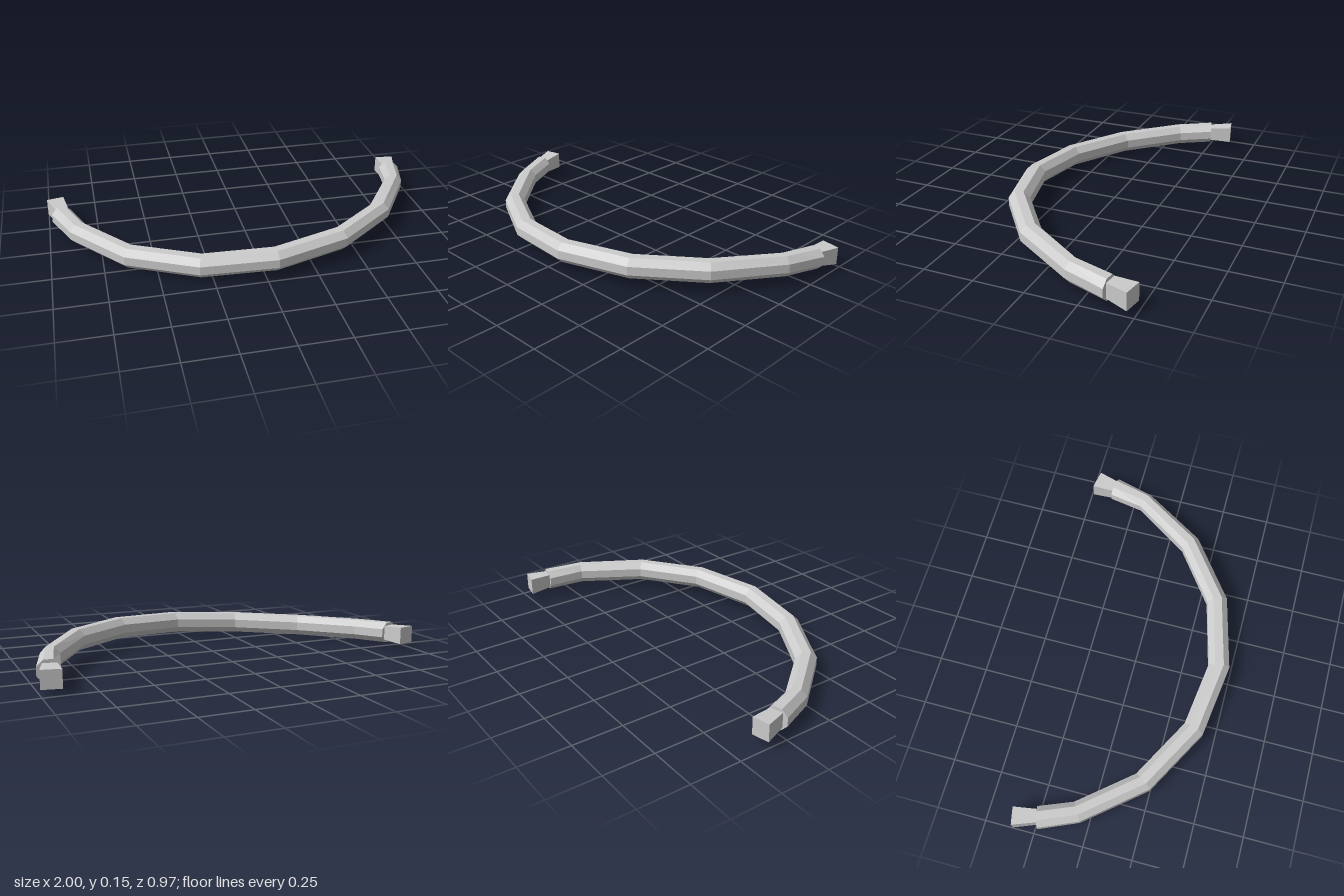
import * as THREE from 'three';

const material = new THREE.MeshStandardMaterial({ color: 0xcccccc, flatShading: true, side: THREE.DoubleSide });

// Cross-section ring from a station: outer x, z, inner x, z, centre height, half height
function ring([ox, oz, ix, iz, y, half], sides) {
  const k = 1 / Math.cos(Math.PI / sides);
  return Array.from({ length: sides }, (_, j) => {
    const a = ((j + 0.5) / sides) * Math.PI * 2;
    const c = Math.cos(a) * k, s = Math.sin(a) * k;
    return new THREE.Vector3(
      (ox + ix) / 2 + (c * (ox - ix)) / 2,
      y + s * half,
      (oz + iz) / 2 + (c * (oz - iz)) / 2
    );
  });
}

// Faceted solid through a row of stations, capped at both ends
function loft(name, stations, sides) {
  const rings = stations.map((s) => ring(s, sides));
  const points = [];
  for (let i = 0; i < rings.length - 1; i++) {
    for (let j = 0; j < sides; j++) {
      const n = (j + 1) % sides;
      const a = rings[i][j], b = rings[i][n], c = rings[i + 1][n], d = rings[i + 1][j];
      points.push(a, d, b, d, c, b);
    }
  }
  const first = rings[0], last = rings[rings.length - 1];
  for (let j = 1; j < sides - 1; j++) {
    points.push(first[0], first[j], first[j + 1]);
    points.push(last[0], last[j + 1], last[j]);
  }
  const geometry = new THREE.BufferGeometry().setFromPoints(points);
  geometry.computeVertexNormals();
  const mesh = new THREE.Mesh(geometry, material);
  mesh.name = name;
  return mesh;
}

export function createModel() {
  const group = new THREE.Group();
  group.name = 'curvedBar';

  // Octagonal bar bent into a gently tilted arc
  const r = 0.053;
  group.add(loft('bar', [
    [-0.98, -0.232, -0.878, -0.26, 0.073, r],
    [-0.895, -0.04, -0.81, -0.094, 0.063, r],
    [-0.654, 0.249, -0.595, 0.163, 0.055, r],
    [-0.317, 0.436, -0.285, 0.334, 0.065, r],
    [0.057, 0.486, 0.047, 0.379, 0.084, r],
    [0.426, 0.388, 0.383, 0.291, 0.098, r],
    [0.731, 0.158, 0.656, 0.088, 0.102, r],
    [0.934, -0.163, 0.848, -0.195, 0.094, r],
    [0.993, -0.361, 0.886, -0.377, 0.082, r],
  ], 8));

  // Flared square tips, narrow where they enter the bar
  group.add(loft('rightTip', [
    [-1.0, -0.352, -0.914, -0.37, 0.077, 0.044],
    [-0.955, -0.235, -0.893, -0.252, 0.074, 0.037],
  ], 4));
  group.add(loft('leftTip', [
    [0.966, -0.358, 0.902, -0.37, 0.082, 0.037],
    [1.0, -0.468, 0.906, -0.486, 0.073, 0.044],
  ], 4));

  return group;
}
